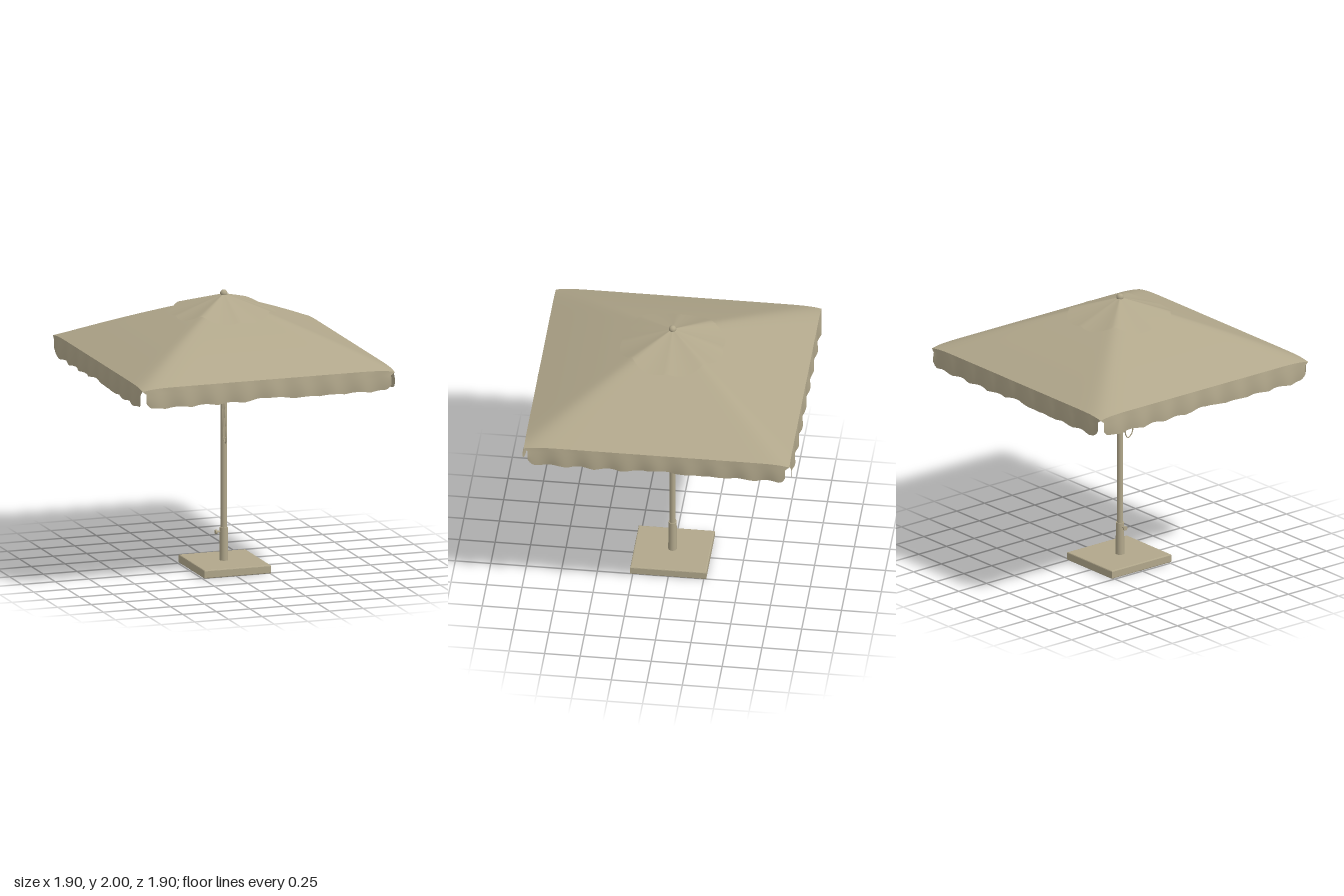
import * as THREE from 'three';
import { mergeVertices } from 'three/addons/utils/BufferGeometryUtils.js';

const fabric = new THREE.MeshStandardMaterial({ color: 0xb1a78b, side: THREE.DoubleSide });
fabric.name = 'tan';

const HALF = 0.935;
// Height of the cloth: a pyramid with softly rounded ridges
function clothY(x, z) {
  const p = 16;
  const d = Math.pow(Math.abs(x) ** p + Math.abs(z) ** p, 1 / p);
  return 1.96 - 0.43 * d + 0.012 * Math.sin(Math.PI * Math.min(d / HALF, 1));
}

// Move every vertex by a rule, weld, and smooth
function reshape(geo, rule) {
  const pos = geo.attributes.position;
  const v = new THREE.Vector3();
  for (let i = 0; i < pos.count; i++) {
    v.fromBufferAttribute(pos, i);
    rule(v);
    pos.setXYZ(i, v.x, v.y, v.z);
  }
  geo.deleteAttribute('uv');
  geo.deleteAttribute('normal');
  const welded = mergeVertices(geo, 1e-5);
  welded.computeVertexNormals();
  return welded;
}

export function createModel() {
  const model = new THREE.Group();
  model.name = 'parasol';

  function add(name, geo, x = 0, y = 0, z = 0, parent = model) {
    const mesh = new THREE.Mesh(geo, fabric);
    mesh.name = name;
    mesh.position.set(x, y, z);
    parent.add(mesh);
    return mesh;
  }
  function rod(name, points, radius, segments = 16) {
    const curve = new THREE.CatmullRomCurve3(points.map(p => new THREE.Vector3(...p)));
    return add(name, new THREE.TubeGeometry(curve, segments, radius, 8), 0, 0, 0);
  }

  // Base slab with a softened rim
  const slab = new THREE.Shape();
  slab.moveTo(-0.24, -0.26);
  slab.lineTo(0.24, -0.26);
  slab.lineTo(0.24, 0.26);
  slab.lineTo(-0.24, 0.26);
  slab.closePath();
  const slabGeo = new THREE.ExtrudeGeometry(slab, {
    depth: 0.046, bevelEnabled: true, bevelSize: 0.008, bevelThickness: 0.007, bevelSegments: 2,
  });
  slabGeo.rotateX(-Math.PI / 2);
  add('base', slabGeo, 0.008, 0.007, 0);

  // Pole, sleeve and clamp knob
  add('pole', new THREE.CylinderGeometry(0.022, 0.022, 1.9, 24), 0, 1.0, 0);
  add('sleeve', new THREE.CylinderGeometry(0.029, 0.031, 0.24, 24), 0, 0.175, 0);
  const screw = add('clampScrew', new THREE.CylinderGeometry(0.007, 0.007, 0.04, 10), -0.042, 0.265, 0);
  const knob = add('clampKnob', new THREE.CylinderGeometry(0.016, 0.016, 0.012, 12), -0.058, 0.265, 0);
  screw.rotation.z = knob.rotation.z = Math.PI / 2;

  // Hubs and finial
  add('lowerHub', new THREE.CylinderGeometry(0.04, 0.036, 0.05, 20), 0, 1.53, 0);
  add('upperHub', new THREE.CylinderGeometry(0.04, 0.04, 0.05, 20), 0, 1.885, 0);
  add('finialNeck', new THREE.CylinderGeometry(0.02, 0.036, 0.03, 20), 0, 1.958, 0);
  add('finial', new THREE.SphereGeometry(0.026, 20, 14), 0, 1.974, 0);

  // Canopy cloth
  const cloth = new THREE.PlaneGeometry(2 * HALF, 2 * HALF, 64, 64);
  cloth.rotateX(-Math.PI / 2);
  add('canopy', reshape(cloth, v => { v.y = clothY(v.x, v.z); }));

  // Scalloped vent cap: eight lobes hugging the cloth
  const cap = new THREE.RingGeometry(0.02, 1, 96, 10);
  cap.rotateX(-Math.PI / 2);
  add('ventCap', reshape(cap, v => {
    const t = Math.hypot(v.x, v.z);
    const a = Math.atan2(v.z, v.x);
    const lobe = Math.abs(Math.sin(4 * a));
    const r = t * (0.355 + 0.02 * lobe);
    v.x = r * Math.cos(a);
    v.z = r * Math.sin(a);
    v.y = clothY(v.x, v.z) + 0.014 + 0.008 * t * (1 - lobe);
  }));

  // Four wavy valances, open at the corners
  for (let side = 0; side < 4; side++) {
    const strip = new THREE.PlaneGeometry(2, 1, 120, 8);
    const geo = reshape(strip, v => {
      const s = v.x;
      const t = 0.5 - v.y;
      const edge = Math.abs(s);
      const x = s * (HALF - 0.028 * Math.min(1, t * 4));
      const round = Math.max(0, (edge - 0.95) / 0.05);
      const top = clothY(s * HALF, HALF);
      const bottom = 1.408 + 0.01 * Math.abs(Math.sin(s * 15 + side))
        + 0.018 * Math.exp(-((s / 0.12) ** 2)) + 0.04 * round ** 2;
      v.set(x, top + (bottom - top) * t,
        HALF + 0.008 * Math.sin(t * 2) + 0.008 * t * Math.sin(s * 26 + side * 1.7));
    });
    add('valance', geo).rotation.y = side * Math.PI / 2;
  }

  // Eight ribs under the cloth and eight curved struts
  for (let i = 0; i < 8; i++) {
    const a = i * Math.PI / 4;
    const c = Math.cos(a), s = Math.sin(a);
    const at = (r, drop) => [r * c, clothY(r * c, r * s) - drop, r * s];
    const reach = i % 2 ? 1.28 : 0.91;
    rod('rib', [at(0.03, 0.05), at(reach * 0.35, 0.018), at(reach * 0.7, 0.016), at(reach, 0.014)], 0.01);
    const end = at(0.76, 0.02);
    const h = end[1];
    rod('strut', [
      [0.035 * c, 1.535, 0.035 * s],
      [0.4 * c, 1.535 + (h - 1.535) * 0.62, 0.4 * s],
      end,
    ], 0.01);
    const joint = add('strutJoint', new THREE.SphereGeometry(0.015, 10, 8), ...end);
    joint.rotation.y = -a;
  }

  // Pull cord hanging in a loop beside the pole
  rod('pullCord', [
    [-0.03, 1.52, 0.045], [-0.03, 1.3, 0.043], [-0.022, 1.08, 0.036], [-0.016, 0.95, 0.036],
    [-0.012, 0.912, 0.062], [-0.016, 0.945, 0.096], [-0.022, 1.1, 0.093], [-0.03, 1.42, 0.06],
    [-0.03, 1.52, 0.05],
  ], 0.004, 60);

  return model;
}
